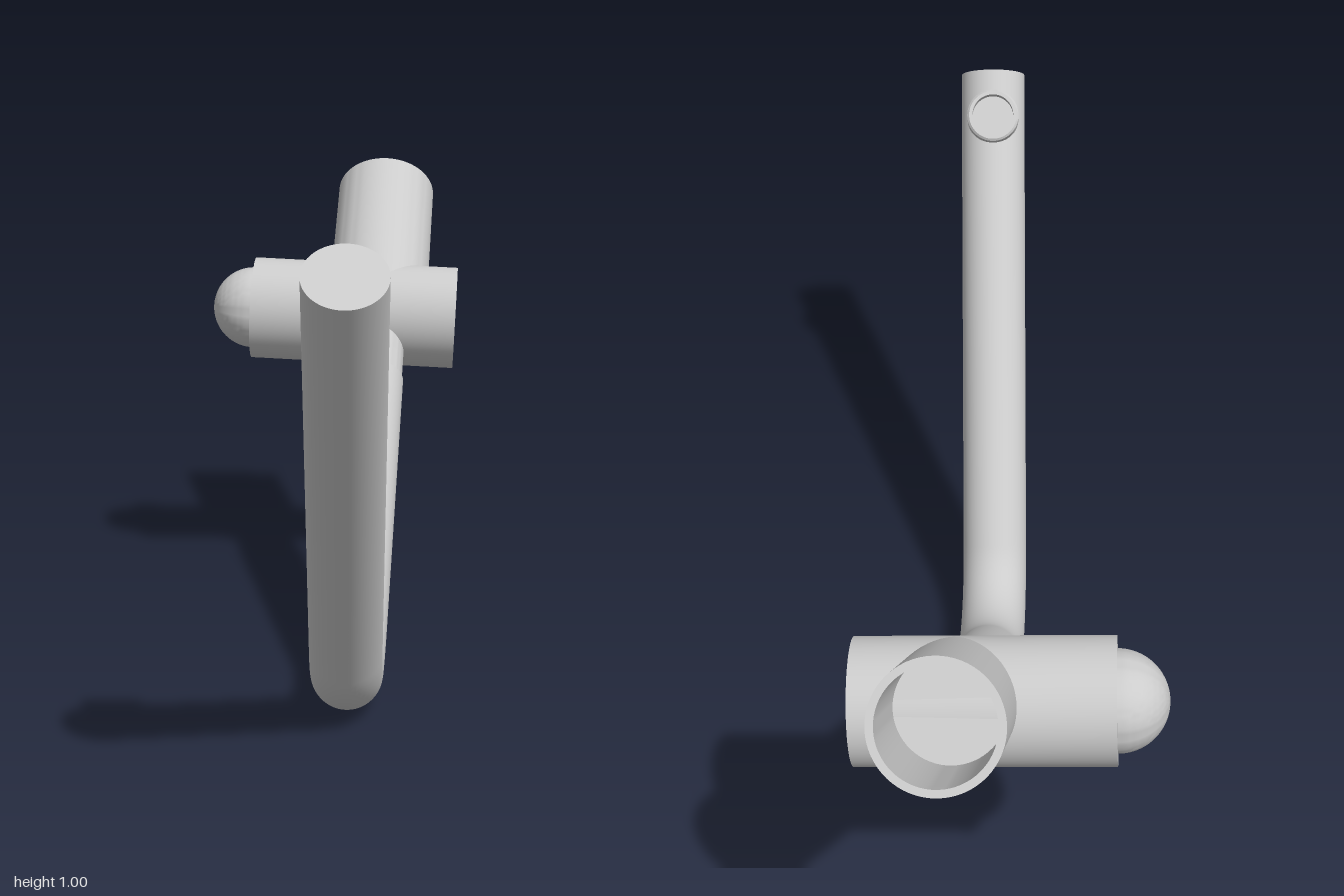
import * as THREE from 'three';
import { toCreasedNormals } from 'three/addons/utils/BufferGeometryUtils.js';

const V = (x, y, z) => new THREE.Vector3(x, y, z);
const material = new THREE.MeshStandardMaterial({ color: 0xcccccc });

// Solid of revolution: profile [radius, distance] measured from `start` towards `end`
function turned(name, start, end, profile) {
  const points = profile.map(([r, d]) => new THREE.Vector2(r, d));
  const geometry = toCreasedNormals(new THREE.LatheGeometry(points, 64), 0.5);
  const mesh = new THREE.Mesh(geometry, material);
  mesh.name = name;
  mesh.position.copy(start);
  mesh.quaternion.setFromUnitVectors(V(0, 1, 0), end.clone().sub(start).normalize());
  return mesh;
}

// Point at a given distance from a towards b
const along = (a, b, d) => a.clone().addScaledVector(b.clone().sub(a).normalize(), d);

export function createModel() {
  const model = new THREE.Group();
  const pipeRadius = 0.067;
  const bendRadius = 0.22;

  const frontEnd = V(0.037, 0.96, 0.945);
  const corner = V(0.032, -0.02, 0.203);
  const socketEnd = V(0.112, 0.826, -0.935);
  const seam = along(corner, socketEnd, 0.85);
  const crossRight = V(-0.18, 0.611, -0.644);
  const crossLeft = V(0.262, 0.592, -0.625);

  // Bent pipe: two straight legs joined by a quarter bend
  const bendStart = along(corner, frontEnd, bendRadius);
  const bendEnd = along(corner, socketEnd, bendRadius);
  const handle = bendRadius * (1 - 0.5523);
  const path = new THREE.CurvePath();
  path.add(new THREE.LineCurve3(frontEnd, bendStart));
  path.add(new THREE.CubicBezierCurve3(
    bendStart, along(corner, frontEnd, handle), along(corner, socketEnd, handle), bendEnd));
  path.add(new THREE.LineCurve3(bendEnd, seam));
  const pipe = new THREE.Mesh(new THREE.TubeGeometry(path, 160, pipeRadius, 48), material);
  pipe.name = 'bentPipe';
  model.add(pipe);
  model.add(turned('pipeEndCap', frontEnd, corner, [[0, 0], [pipeRadius, 0]]));

  // Neck between the pipe and the cross body
  model.add(turned('neck', seam, socketEnd, [[pipeRadius, 0], [0.064, 0.003], [0.064, 0.2]]));

  // Cross body with a flat left end and a domed right end
  const crossLength = crossLeft.distanceTo(crossRight);
  model.add(turned('crossBody', crossRight, crossLeft,
    [[0, 0], [0.11, 0], [0.11, crossLength], [0, crossLength]]));
  const dome = [];
  for (let i = 0; i <= 20; i++) {
    const a = (i / 20) * Math.PI / 2;
    dome.push([0.088 * Math.cos(a), 0.088 * Math.sin(a)]);
  }
  dome[20][0] = 0;
  model.add(turned('dome', crossRight, along(crossRight, crossLeft, -1), dome));

  // Open socket rising out of the cross body
  const socketLength = 0.37;
  const socketBase = along(socketEnd, corner, socketLength);
  model.add(turned('socket', socketBase, socketEnd, [
    [0.108, 0], [0.108, socketLength], [0.095, socketLength],
    [0.095, 0.1], [0, 0.1],
  ]));

  // Small recessed port on the inner side of the front leg
  const portBase = along(frontEnd, corner, 0.1);
  const portDirection = V(0, 0.603, -0.797);
  model.add(turned('port', portBase, portBase.clone().add(portDirection), [
    [0.054, 0.02], [0.054, 0.089], [0.05, 0.093], [0.043, 0.093],
    [0.043, 0.069], [0, 0.069],
  ]));

  return model;
}
